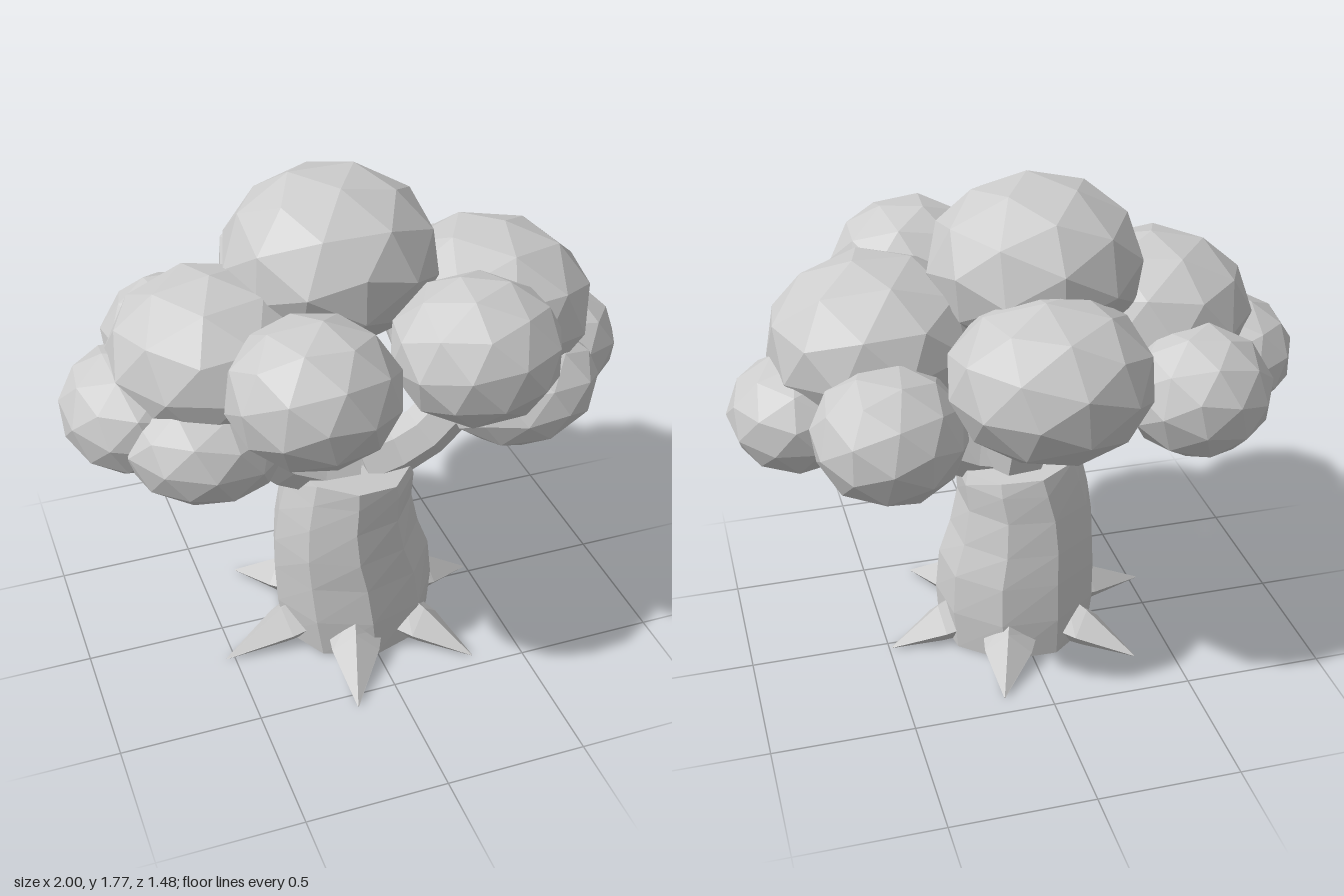
import * as THREE from 'three';

const V = (x, y, z) => new THREE.Vector3(x, y, z);

// Joins rings of points into a closed, flat-faceted skin with end caps
function loft(rings) {
  const pos = [];
  const tri = (...pts) => pts.forEach((p) => pos.push(p.x, p.y, p.z));
  const n = rings[0].length;
  const middle = (ring) => ring.reduce((s, p) => s.add(p), V(0, 0, 0)).divideScalar(n);
  const first = rings[0], last = rings[rings.length - 1];
  for (let i = 0; i < n; i++) {
    const j = (i + 1) % n;
    for (let k = 0; k < rings.length - 1; k++) {
      const lo = rings[k], hi = rings[k + 1];
      tri(lo[j], lo[i], hi[i]);
      tri(lo[j], hi[i], hi[j]);
    }
    tri(middle(first), first[i], first[j]);
    tri(middle(last), last[j], last[i]);
  }
  const g = new THREE.BufferGeometry();
  g.setAttribute('position', new THREE.Float32BufferAttribute(pos, 3));
  g.computeVertexNormals();
  return g;
}

// Gnarled trunk: [y, centre x, centre z, radius x, radius z]
function trunkGeometry() {
  const sections = [
    [0, 0.0, 0.05, 0.285, 0.28], [0.15, -0.005, 0.05, 0.3, 0.285],
    [0.3, -0.015, 0.05, 0.295, 0.275], [0.42, -0.035, 0.055, 0.27, 0.265],
    [0.55, -0.04, 0.06, 0.245, 0.25], [0.65, -0.025, 0.065, 0.235, 0.24],
    [0.71, -0.02, 0.07, 0.215, 0.23],
  ];
  const sides = 9;
  return loft(sections.map(([y, cx, cz, rx, rz], k) =>
    Array.from({ length: sides }, (_, i) => {
      const a = (i / sides) * Math.PI * 2 + 0.2 + k * 0.03;
      const tilt = k === sections.length - 1 ? -Math.cos(a) * 0.02 : 0;
      return V(cx + rx * Math.cos(a), y + tilt, cz + rz * Math.sin(a));
    })));
}

// Tapered six-sided branch along a smooth curve
function branchGeometry(points, r0, r1) {
  const curve = new THREE.CatmullRomCurve3(points.map((p) => V(...p)));
  const steps = 5, sides = 6;
  const { normals, binormals } = curve.computeFrenetFrames(steps);
  return loft(Array.from({ length: steps + 1 }, (_, k) => {
    const t = k / steps, c = curve.getPointAt(t), r = r0 + (r1 - r0) * t;
    return Array.from({ length: sides }, (_, i) => {
      const a = (i / sides) * Math.PI * 2;
      return c.clone().addScaledVector(normals[k], r * Math.cos(a))
        .addScaledVector(binormals[k], -r * Math.sin(a));
    });
  }));
}

// Ridged root that tapers to a point on the ground
function rootGeometry(x, z) {
  const centre = V(0, 0, 0.05), tip = V(x, 0, z);
  const d = tip.clone().sub(centre);
  const length = d.length();
  d.normalize();
  const side = d.clone().cross(V(0, 1, 0));
  const sections = [[0.22, 0.1, 0.18], [0.31, 0.085, 0.135], [length, 0.003, 0.004]];
  return loft(sections.map(([r, w, h]) => {
    const c = centre.clone().addScaledVector(d, r);
    const at = (s, y) => c.clone().addScaledVector(side, s * w).setY(y);
    return [at(0.4, 0), at(1, h * 0.45), at(0, h), at(-1, h * 0.45), at(-0.4, 0)];
  }));
}

// Faceted, squashed ball of leaves, optionally tilted sideways
function leafGeometry([x, y, z, rx, ry, rz, tilt = 0], i) {
  const g = new THREE.IcosahedronGeometry(1.03, 1);
  g.rotateX(i * 0.9 + 0.3).rotateY(i * 1.7).scale(rx, ry, rz).rotateZ(tilt).translate(x, y, z);
  g.computeVertexNormals();
  return g;
}

export function createModel() {
  const tree = new THREE.Group();
  tree.name = 'tree';
  const grey = new THREE.MeshStandardMaterial({ color: 0xcccccc });
  grey.name = 'plain grey';
  const add = (name, geometry) => {
    const mesh = new THREE.Mesh(geometry, grey);
    mesh.name = name;
    tree.add(mesh);
  };

  add('trunk', trunkGeometry());

  // Roots, by tip position
  [[-0.16, 0.56], [0.32, 0.45], [0.49, -0.03], [0.16, -0.42], [-0.36, -0.31], [-0.53, 0.17]]
    .forEach(([x, z], i) => add('root' + (i + 1), rootGeometry(x, z)));

  // Side branches curve up and out, the rear one leans back
  for (const [name, s] of [['leftBranch', 1], ['rightBranch', -1]]) {
    add(name, branchGeometry([[s * 0.02, 0.69, 0.085], [s * 0.22, 0.75, 0.085],
      [s * 0.385, 0.9, 0.08], [s * 0.48, 1.08, 0.05]], 0.1, 0.09));
  }
  add('rearBranch', branchGeometry([[-0.005, 0.68, 0.04], [-0.005, 0.9, -0.05], [0, 1.25, -0.2]], 0.125, 0.055));

  // Leaf clumps: centre, radii, tilt
  const clumps = {
    topLeaves: [-0.052, 1.49, -0.03, 0.36, 0.285, 0.36],
    leftLeaves: [0.485, 1.24, 0.04, 0.365, 0.29, 0.365],
    rightLeaves: [-0.49, 1.24, 0.04, 0.345, 0.275, 0.345],
    frontRightLeaves: [-0.275, 1.285, 0.46, 0.28, 0.235, 0.275],
    frontLeftLeaves: [0.275, 1.325, 0.45, 0.28, 0.235, 0.275],
    backLeaves: [0, 1.25, -0.41, 0.335, 0.265, 0.33],
    backRightLeaves: [-0.535, 1.095, -0.335, 0.25, 0.22, 0.245],
    backLeftLeaves: [0.52, 1.09, -0.36, 0.25, 0.22, 0.255],
    lowerRightLeaves: [-0.77, 1.06, 0.01, 0.23, 0.2, 0.27],
    lowerFrontRightLeaves: [-0.575, 1.008, 0.22, 0.265, 0.185, 0.24, -0.12],
    lowerFrontLeftLeaves: [0.55, 1.0, 0.23, 0.27, 0.185, 0.245, 0.2],
    lowerLeftLeaves: [0.77, 1.025, 0.0, 0.23, 0.195, 0.245],
  };
  Object.entries(clumps).forEach(([name, c], i) => add(name, leafGeometry(c, i)));

  return tree;
}
